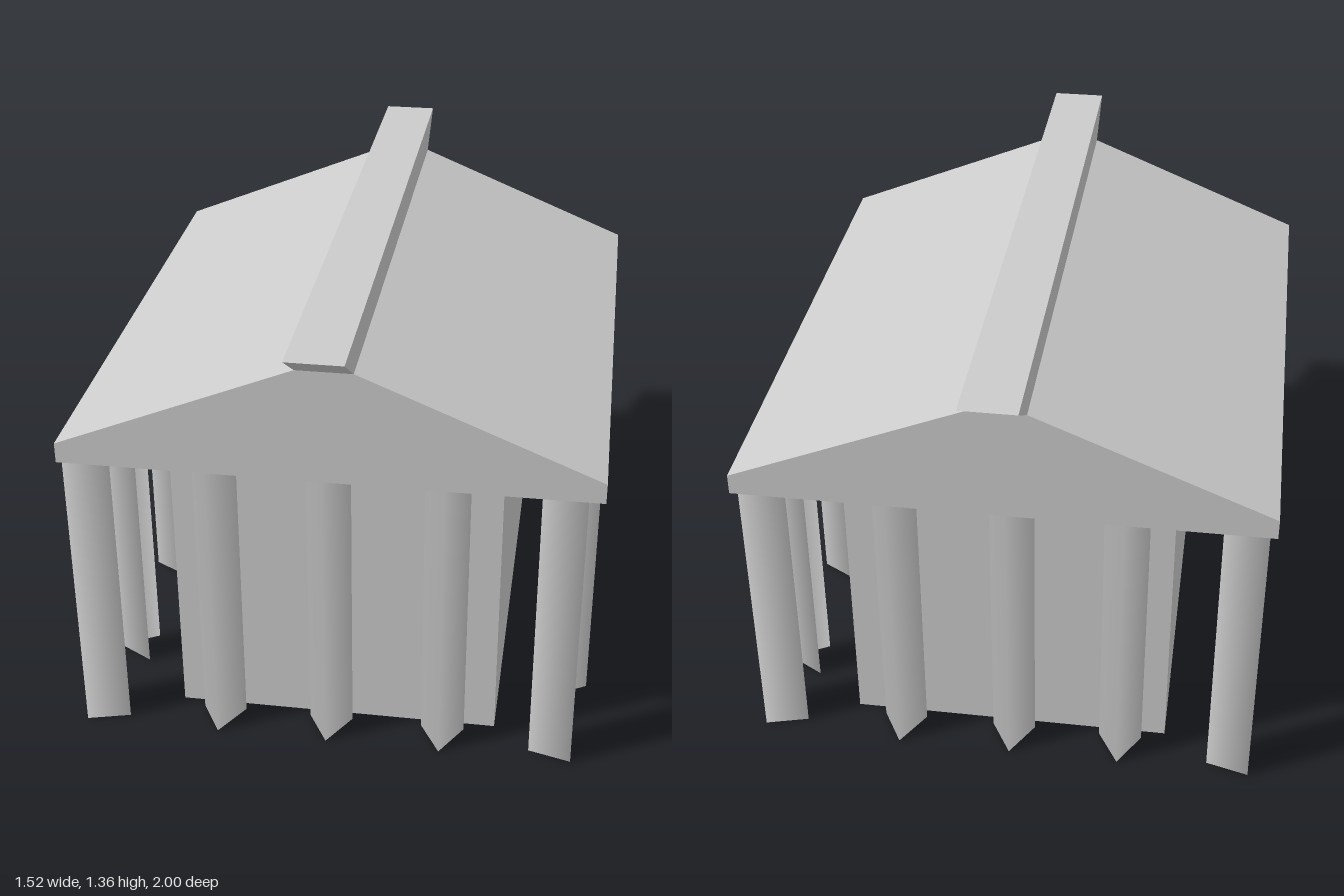
import * as THREE from 'three';
import { mergeGeometries } from 'three/addons/utils/BufferGeometryUtils.js';

const material = new THREE.MeshStandardMaterial({ color: 0xcccccc, side: THREE.DoubleSide });

function addMesh(group, name, geometry) {
  const mesh = new THREE.Mesh(geometry, material);
  mesh.name = name;
  group.add(mesh);
  return mesh;
}

// Flat four-cornered panel, corners counter-clockwise from outside
function quad(a, b, c, d) {
  const g = new THREE.BufferGeometry();
  g.setAttribute('position', new THREE.Float32BufferAttribute([a, b, c, a, c, d].flat(), 3));
  g.computeVertexNormals();
  return g;
}

// Sheets running front to back along an open profile of [x, y, halfDepth], right to left
function sheets(profile) {
  return profile.slice(1).map(([x1, y1, z1], i) => {
    const [x0, y0, z0] = profile[i];
    return quad([x0, y0, z0], [x0, y0, -z0], [x1, y1, -z1], [x1, y1, z1]);
  });
}

// End panel closing a profile, at the front (side 1) or back (side -1)
function gable(points, side) {
  const g = new THREE.ShapeGeometry(new THREE.Shape(points.map(([x, y]) => new THREE.Vector2(x, y))));
  if (side < 0) g.rotateY(Math.PI);
  g.translate(0, 0, side * points[0][2]);
  g.deleteAttribute('uv');
  return g.toNonIndexed();
}

export function createModel() {
  const model = new THREE.Group();
  const H = 0.92;

  // Inner hall: four walls, open underneath
  const w = 0.48, d = 0.69;
  const corners = [[w, d], [w, -d], [-w, -d], [-w, d]];
  addMesh(model, 'hallWalls', mergeGeometries(corners.map(([x0, z0], i) => {
    const [x1, z1] = corners[(i + 1) % 4];
    return quad([x0, 0, z0], [x1, 0, z1], [x1, H, z1], [x0, H, z0]);
  })));

  // Gabled roof shell with a low eave board, open underneath
  const e = 0.85;
  const roof = [[0.76, H, e], [0.76, 0.98, e], [0.08, 1.26, e], [-0.08, 1.26, e], [-0.76, 0.98, e], [-0.76, H, e]];
  addMesh(model, 'roof', mergeGeometries([...sheets(roof), gable(roof, 1), gable(roof, -1)]));

  // Ridge beam flaring outward to slanted ends
  const ridge = new THREE.BoxGeometry(0.16, 0.1, 2).translate(0, 1.31, 0).toNonIndexed();
  const p = ridge.attributes.position;
  for (let i = 0; i < p.count; i++) {
    if (p.getY(i) < 1.3) p.setZ(i, Math.sign(p.getZ(i)) * e);
  }
  ridge.computeVertexNormals();
  addMesh(model, 'ridgeBeam', ridge);

  // Columns: two-sided wedges open at the back, pointing outward
  const r = 0.075;
  const wedge = new THREE.CylinderGeometry(r, r, H, 2, 1, true, -Math.PI * 2 / 3, Math.PI * 4 / 3);
  const columns = new THREE.Group();
  columns.name = 'columns';
  model.add(columns);
  function column(name, tipX, tipZ, angle) {
    const m = addMesh(columns, name, wedge);
    m.position.set(tipX - r * Math.sin(angle), H / 2, tipZ - r * Math.cos(angle));
    m.rotation.y = angle;
  }
  for (const x of [-0.345, -0.015, 0.325]) {
    column('frontColumn', x, 0.83, 0);
    column('backColumn', x, -0.83, Math.PI);
  }
  for (const z of [0.455, -0.025, -0.505]) {
    column('leftColumn', 0.75, z, Math.PI / 2);
    column('rightColumn', -0.75, z, -Math.PI / 2);
  }
  const tips = [[0.715, 0.82], [-0.75, 0.83], [0.75, -0.81], [-0.74, -0.83]];
  for (const [x, z] of tips) {
    column('cornerColumn', x, z, Math.atan2(Math.sign(x), Math.sign(z)));
  }
  return model;
}
